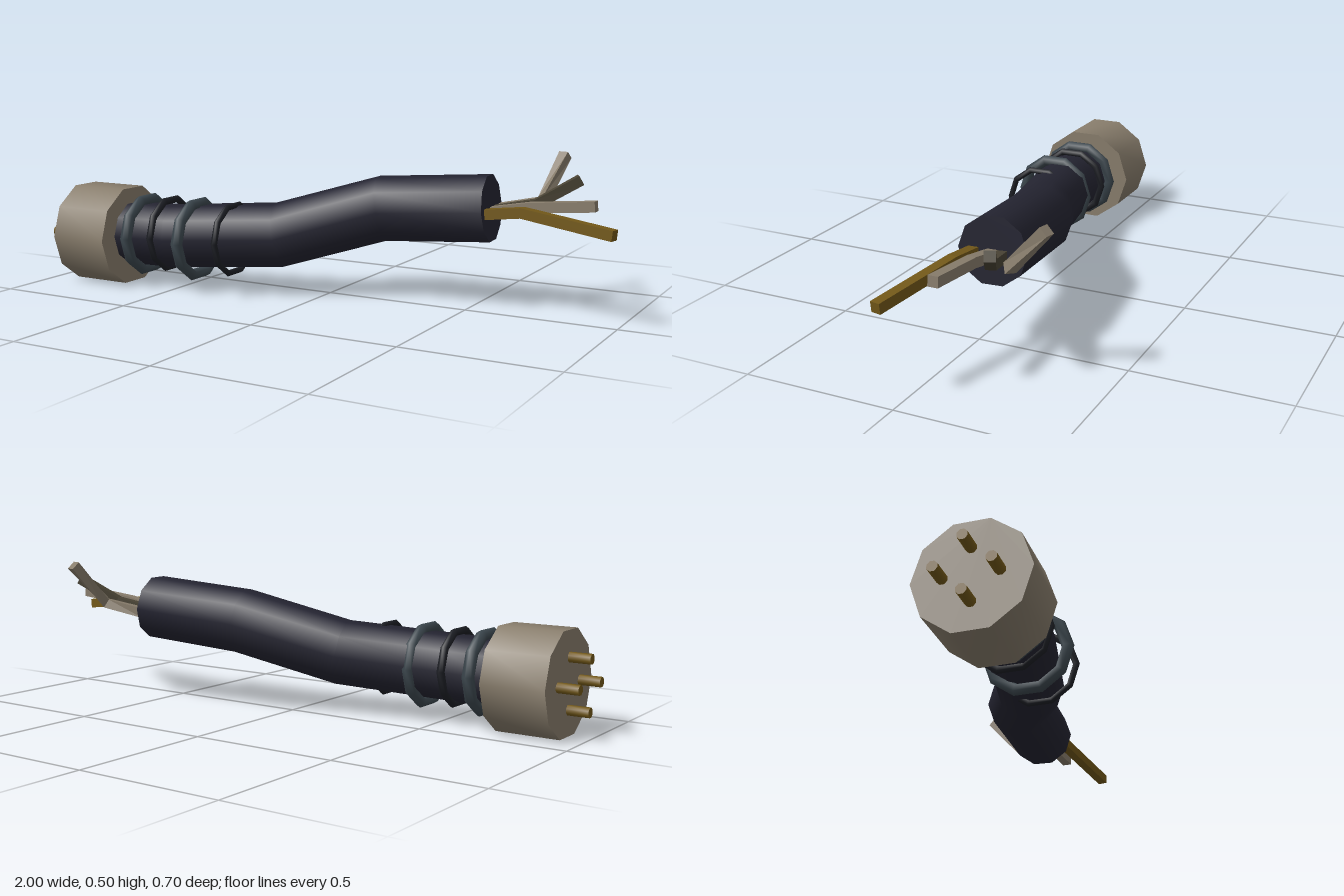
import * as THREE from 'three';

const mat = (name, color) => {
  const m = new THREE.MeshStandardMaterial({ color });
  m.name = name;
  return m;
};

// Sweeps a regular polygon along a list of points, with closed ends.
function sweep(path, radius, sides, flat) {
  const pts = path.map((p) => new THREE.Vector3(...p));
  const pos = [], index = [];
  const n = pts.length;
  const dir = (i) => pts[i + 1].clone().sub(pts[i]).normalize();
  pts.forEach((p, i) => {
    const t = dir(Math.max(i - 1, 0)).add(dir(Math.min(i, n - 2))).normalize();
    const v = new THREE.Vector3(0, 1, 0).addScaledVector(t, -t.y).normalize();
    const w = t.clone().cross(v);
    for (let j = 0; j < sides; j++) {
      const a = ((j + 0.5) / sides) * Math.PI * 2;
      const q = p.clone().addScaledVector(v, Math.cos(a) * radius).addScaledVector(w, Math.sin(a) * radius);
      pos.push(q.x, q.y, q.z);
    }
  });
  for (let i = 0; i < n - 1; i++) {
    for (let j = 0; j < sides; j++) {
      const k = (j + 1) % sides;
      const a = i * sides + j, b = i * sides + k;
      index.push(a, b, b + sides, a, b + sides, a + sides);
    }
  }
  // Caps use their own vertices so their rims stay sharp
  const first = pos.slice(0, sides * 3), last = pos.slice(-sides * 3);
  const s = n * sides, e = s + sides;
  pos.push(...first, ...last);
  for (let j = 1; j < sides - 1; j++) {
    index.push(s, s + j + 1, s + j, e, e + j, e + j + 1);
  }
  let g = new THREE.BufferGeometry();
  g.setAttribute('position', new THREE.Float32BufferAttribute(pos, 3));
  g.setIndex(index);
  if (flat) g = g.toNonIndexed();
  g.computeVertexNormals();
  return g;
}

export function createModel() {
  const group = new THREE.Group();
  group.name = 'severedCable';
  const beige = mat('beige', 0x887d6c);
  const navy = mat('navy', 0x242431);
  const steel = mat('blueGrey', 0x3b464d);
  const black = mat('charcoal', 0x1c1e24);
  const brass = mat('brass', 0x725819);
  const brown = mat('darkBrown', 0x4a4435);

  const add = (name, geometry, material) => {
    const m = new THREE.Mesh(geometry, material);
    m.name = name;
    group.add(m);
    return m;
  };

  // Plug body and its four pins
  const cy = 0.169, cz = 0.173;
  add('plugBody', sweep([[-0.927, cy, cz], [-0.71, cy, cz]], 0.177, 10, false), beige);
  for (const [dy, dz] of [[0.083, 0], [-0.083, 0], [0, 0.083], [0, -0.083]]) {
    add('plugPin', sweep([[-1, cy + dy, cz + dz], [-0.92, cy + dy, cz + dz]], 0.017, 8, false), brass);
  }

  // Bent cable sheath
  add('cableSheath', sweep([
    [-0.72, 0.176, 0.17], [-0.52, 0.181, 0.17], [-0.147, 0.205, 0.09],
    [0.175, 0.302, -0.05], [0.552, 0.328, -0.08],
  ], 0.112, 10, false), navy);

  // Loose rings around the cable near the plug: x, y, z, radius, tube, material
  const rings = [
    [-0.647, 0.177, 0.17, 0.127, 0.02, steel],
    [-0.553, 0.185, 0.16, 0.123, 0.013, black],
    [-0.428, 0.179, 0.173, 0.127, 0.02, steel],
    [-0.284, 0.19, 0.167, 0.119, 0.011, black],
  ];
  for (const [x, y, z, r, tube, m] of rings) {
    const ring = add('cableRing', new THREE.TorusGeometry(r, tube, 6, 10).rotateY(Math.PI / 2), m);
    ring.position.set(x, y, z);
  }

  // Frayed inner wires
  const wires = [
    [brass, [0.53, 0.314, -0.018], [0.68, 0.332, -0.018], [0.993, 0.297, 0.045]],
    [beige, [0.53, 0.312, -0.08], [0.68, 0.34, -0.08], [0.897, 0.36, -0.08]],
    [brown, [0.53, 0.312, -0.105], [0.68, 0.342, -0.143], [0.805, 0.422, -0.207]],
    [beige, [0.53, 0.312, -0.16], [0.68, 0.342, -0.203], [0.709, 0.485, -0.333]],
  ];
  for (const [m, ...path] of wires) add('innerWire', sweep(path, 0.0235, 4, true), m);

  return group;
}
